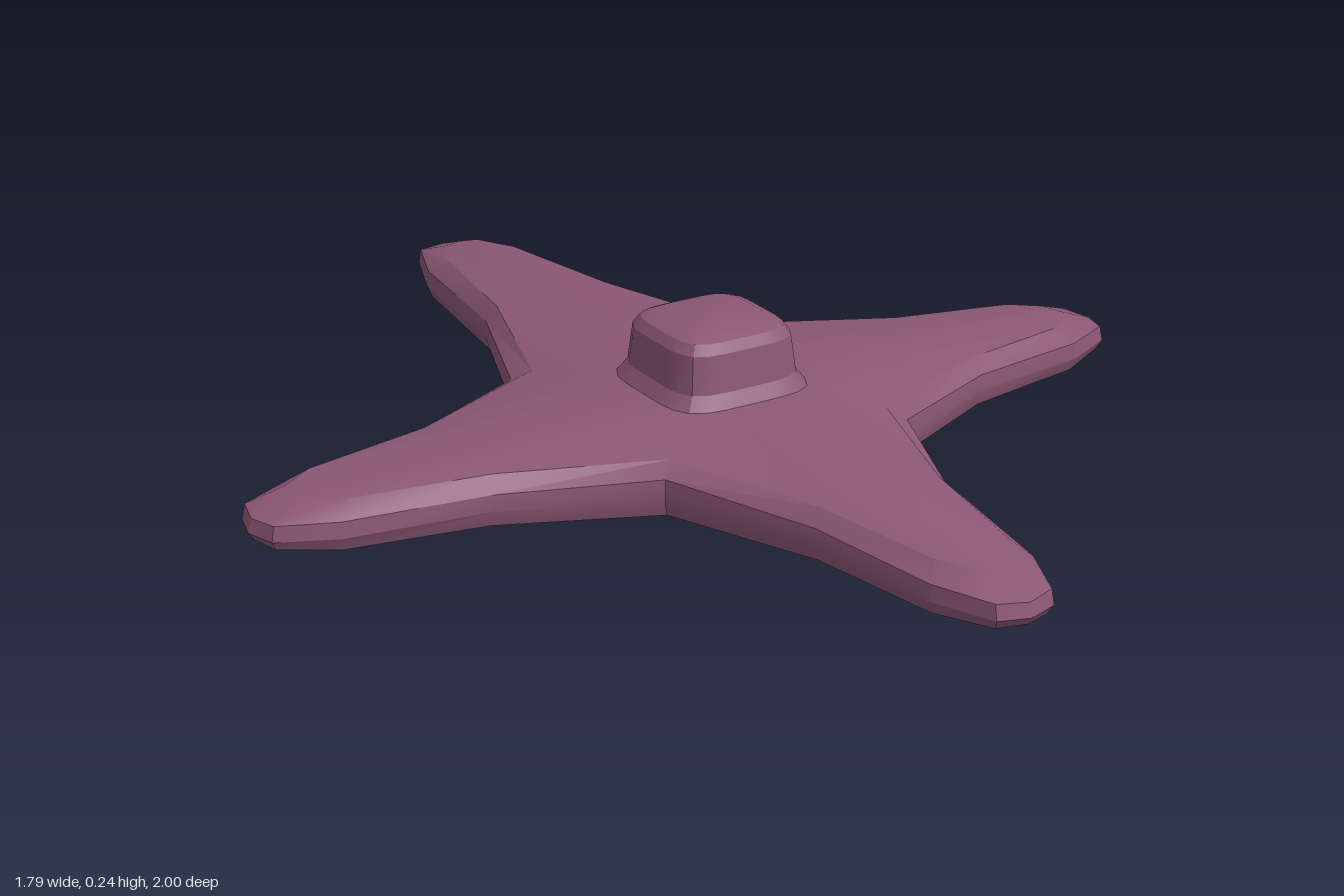
import * as THREE from 'three';
import { toCreasedNormals } from 'three/addons/utils/BufferGeometryUtils.js';

const CX = 0.03, CZ = 0.03; // hub centre
// four arms in order +x, +z, -x, -z: reach at shoulder, taper, tip side, tip
const REACH = [
  [0.53, 0.775, 0.876, 0.895],
  [0.577, 0.857, 0.975, 0.995],
  [0.5, 0.77, 0.878, 0.895],
  [0.555, 0.855, 0.98, 1.0],
];
const HALF = [0.143, 0.107, 0.058, 0]; // half widths at those stations
const CORNERS = [[0.28, -0.25], [0.28, 0.293], [-0.23, 0.293], [-0.23, -0.25]];

// one star-shaped ring: 32 points, inset and height given per station
// arrays hold [corner, shoulder, taper, tip side, tip]
function starRing(heights, insetAlong, insetSide) {
  const ring = [];
  for (let k = 0; k < 4; k++) {
    const c = Math.round(Math.cos(k * Math.PI / 2)), s = Math.round(Math.sin(k * Math.PI / 2));
    const [x, z] = CORNERS[k];
    ring.push([x - Math.sign(x) * insetSide[0], heights[0], z - Math.sign(z) * insetSide[0]]);
    for (let j = -3; j <= 3; j++) {
      const n = 3 - Math.abs(j);
      const st = j === 0 ? 3 : n;
      const u = REACH[k][st] - insetAlong[st + 1];
      const v = Math.sign(j) * (HALF[st] - insetSide[st + 1]);
      ring.push([
        c ? c * u : CX - s * v,
        heights[st + 1],
        c ? CZ + c * v : s * u,
      ]);
    }
  }
  return ring;
}

// rounded-square ring matching the star point for point
function squareRing(r, y) {
  const n = 4.5;
  return Array.from({ length: 32 }, (_, i) => {
    const a = (i / 32) * Math.PI * 2 - Math.PI / 4;
    const c = Math.cos(a), s = Math.sin(a);
    const d = r / Math.pow(Math.abs(c) ** n + Math.abs(s) ** n, 1 / n);
    return [CX + d * c, y, CZ + d * s];
  });
}

// skin consecutive rings
function loft(rings, crease) {
  const pos = rings.flat(2), idx = [];
  for (let r = 0; r < rings.length - 1; r++) {
    for (let i = 0; i < 32; i++) {
      const j = (i + 1) % 32;
      const a = r * 32 + i, b = r * 32 + j, c = a + 32, d = b + 32;
      idx.push(a, c, b, b, c, d);
    }
  }
  const g = new THREE.BufferGeometry();
  g.setAttribute('position', new THREE.Float32BufferAttribute(pos, 3));
  g.setIndex(idx);
  g.computeVertexNormals();
  return toCreasedNormals(g, crease);
}

export function createModel() {
  const group = new THREE.Group();
  const mauve = new THREE.MeshStandardMaterial({ color: 0x8c5874, side: THREE.DoubleSide });
  mauve.name = 'mauve';
  const add = (name, geometry) => {
    const mesh = new THREE.Mesh(geometry, mauve);
    mesh.name = name;
    group.add(mesh);
  };

  const none = [0, 0, 0, 0, 0];
  // hollow star: underside with opening, rim wall, bevel, gently rising top
  const under = starRing([0, 0, 0.005, 0.012, 0.014], [0, 0, 0.005, 0.01, 0.012], [0.008, 0.01, 0.01, 0.006, 0]);
  add('starUnderside', loft([squareRing(0.14, 0), under], 0.4));
  add('starBody', loft([
    under,
    starRing([0.03, 0.03, 0.03, 0.03, 0.03], none, none),
    starRing([0.07, 0.06, 0.06, 0.058, 0.055], [0, 0, 0.002, 0.005, 0.008], [0.002, 0.003, 0.003, 0.002, 0]),
    starRing([0.092, 0.09, 0.086, 0.084, 0.084], [0, 0.01, 0.03, 0.075, 0.085], [0.03, 0.022, 0.032, 0.022, 0]),
    squareRing(0.145, 0.115),
  ], 0.45));

  // central knob, open below
  add('knob', loft([
    squareRing(0.145, 0.115),
    squareRing(0.128, 0.14),
    squareRing(0.12, 0.21),
    squareRing(0.108, 0.228),
    squareRing(0.085, 0.238),
    squareRing(0.0005, 0.24),
  ], 0.45));

  return group;
}
